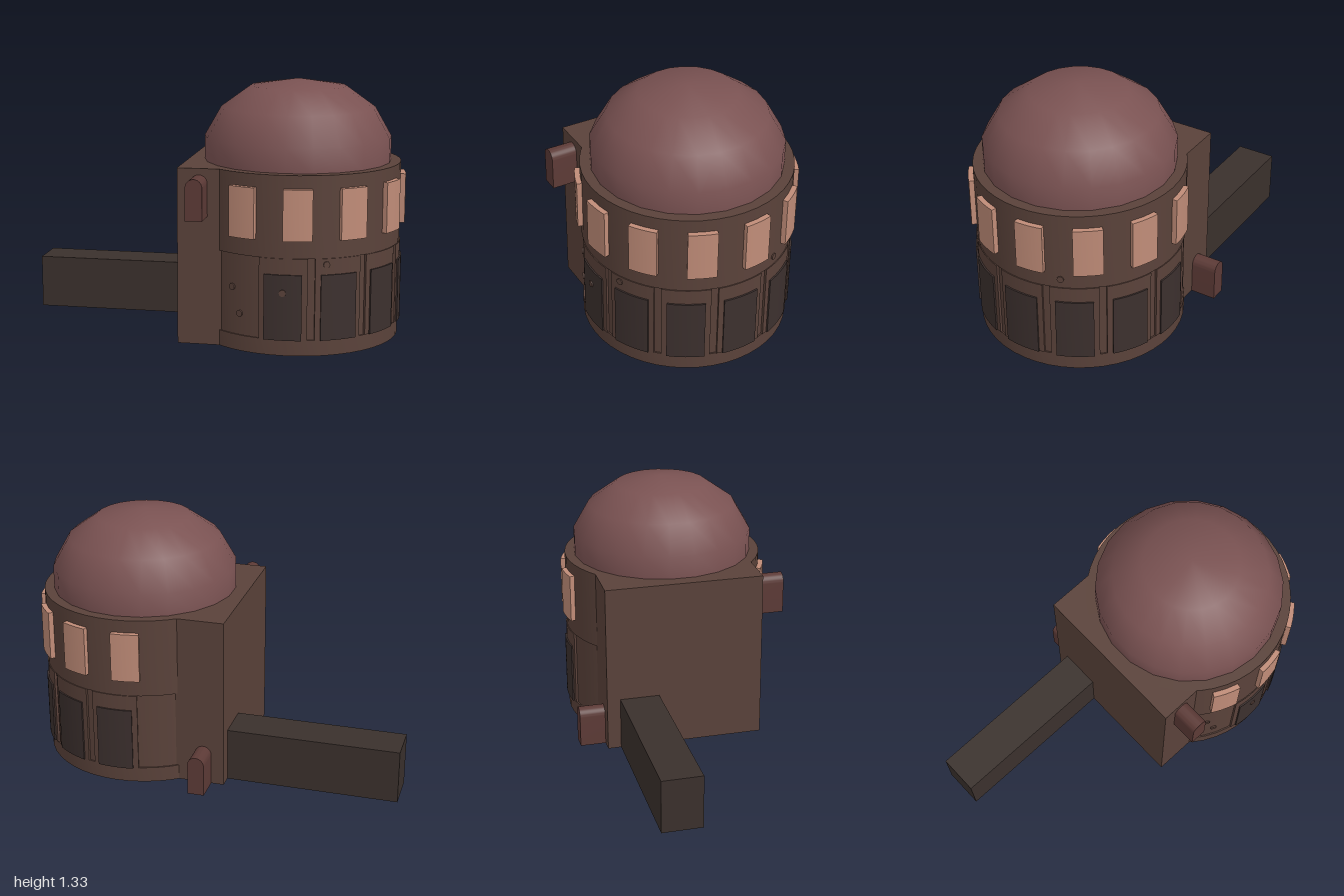
import * as THREE from 'three';
import { toCreasedNormals } from 'three/addons/utils/BufferGeometryUtils.js';

const DEG = Math.PI / 180;
const CX = 0.44; // axis of the round tower

const mat = (color) => new THREE.MeshStandardMaterial({ color });
const wallMat = mat(0x5a423a);
const domeMat = mat(0x7a5252);
const doorMat = mat(0x3c302e);
const beamMat = mat(0x3a302c);
const paneMat = mat(0xc08c78);
const archMat = mat(0x5c3a36);

export function createModel() {
  const model = new THREE.Group();

  const add = (name, geometry, material, x = 0, y = 0, z = 0) => {
    const mesh = new THREE.Mesh(geometry, material);
    mesh.name = name;
    mesh.position.set(x, y, z);
    model.add(mesh);
    return mesh;
  };
  const lathe = (points, sides, crease) => toCreasedNormals(
    new THREE.LatheGeometry(points.map(([r, y]) => new THREE.Vector2(r, y)), sides), crease * DEG);

  // Curved slab around the tower axis; angles run from +x towards +z
  const arcSlab = (name, material, r0, r1, from, to, y0, y1) => {
    const shape = new THREE.Shape();
    shape.absarc(0, 0, r1, from * DEG, to * DEG, false);
    shape.absarc(0, 0, r0, to * DEG, from * DEG, true);
    const geo = new THREE.ExtrudeGeometry(shape, { depth: y1 - y0, bevelEnabled: false, curveSegments: 4 });
    geo.rotateX(Math.PI / 2);
    return add(name, toCreasedNormals(geo, 30 * DEG), material, CX, y1, 0);
  };

  // Round tower with a plinth and a set-back lower storey
  add('towerWall', lathe([
    [0, 0], [0.16, 0.003], [0.53, 0.01], [0.53, 0.09], [0.523, 0.09],
    [0.523, 0.5], [0.53, 0.5], [0.53, 0.91], [0, 0.91],
  ], 48, 30), wallMat, CX);

  // Dome on a short collar
  add('dome', lathe([
    [0.48, 0.9], [0.48, 1.03], [0.395, 1.18], [0.245, 1.288], [0, 1.325],
  ], 22, 40), domeMat, CX);

  // Square block behind the tower, with a long beam running out of it
  add('sideBlock', new THREE.BoxGeometry(0.55, 0.9, 0.84), wallMat, 0.165, 0.46, -0.01);
  add('beam', new THREE.BoxGeometry(0.92, 0.28, 0.21), beamMat, -0.54, 0.15, -0.255);

  // Framed doors around the lower storey
  for (let a = -90; a <= 90; a += 30) {
    arcSlab('doorFrame', wallMat, 0.5, 0.534, a - 13, a + 13, 0.09, 0.5);
    arcSlab('door', doorMat, 0.5, 0.542, a - 10, a + 10, 0.09, 0.42);
  }

  // Window panes around the upper storey
  for (let a = -105; a <= 105; a += 30) {
    arcSlab('windowPane', paneMat, 0.525, 0.556, a, a + 15, 0.59, 0.845);
  }

  // Round-topped ports: one high at the front, one low at the back
  const archShape = new THREE.Shape();
  archShape.moveTo(-0.043, 0);
  archShape.lineTo(0.043, 0);
  archShape.lineTo(0.043, 0.165);
  archShape.absarc(0, 0.165, 0.043, 0, Math.PI, false);
  const archGeo = toCreasedNormals(
    new THREE.ExtrudeGeometry(archShape, { depth: 0.2, bevelEnabled: false, curveSegments: 10 }), 35 * DEG);
  add('frontPort', archGeo, archMat, 0, 0.67, 0.345);
  add('backPort', archGeo, archMat, 0, 0.01, -0.565);

  // Small round studs on the wall: angle, height, radius from axis
  const studGeo = new THREE.CylinderGeometry(0.017, 0.017, 0.02, 12).rotateZ(Math.PI / 2);
  for (const [a, y, r] of [[90, 0.33, 0.538], [120, 0.33, 0.52], [115, 0.2, 0.52], [67, 0.47, 0.53], [-23, 0.55, 0.526]]) {
    const stud = add('stud', studGeo, wallMat, CX + r * Math.cos(a * DEG), y, r * Math.sin(a * DEG));
    stud.rotation.y = -a * DEG;
  }

  return model;
}
